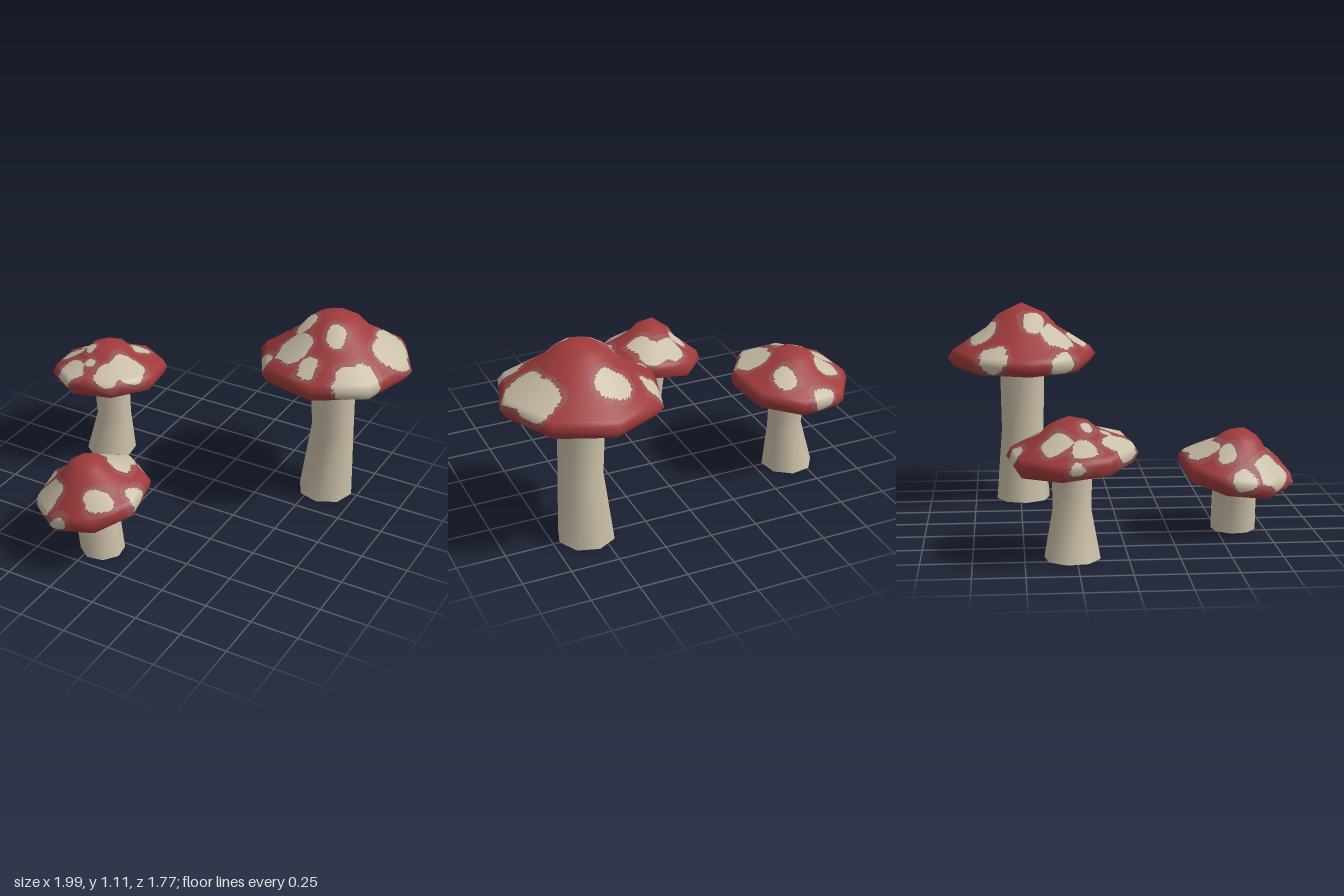
import * as THREE from 'three';
import { mergeVertices } from 'three/addons/utils/BufferGeometryUtils.js';

const SIDES = 8;
const { degToRad } = THREE.MathUtils;

// centre: middle of the cap rim; tilt about x and z and turn in degrees;
// stem: [x, radius] at top, middle and foot; spots: [x, z, radius] from above
const MUSHROOMS = [
  {
    name: 'tallMushroom', centre: [0.583, 0.81, -0.484], radius: 0.415, height: 0.297, tilt: [0, 3], turn: -5.6,
    stem: [[0.577, 0.124], [0.591, 0.118], [0.569, 0.149]],
    spots: [[0.5, -0.695, 0.09], [0.26, -0.64, 0.08], [0.84, -0.63, 0.11], [0.89, -0.51, 0.11], [0.83, -0.21, 0.12],
      [0.64, -0.355, 0.055], [0.44, -0.42, 0.07], [0.43, -0.29, 0.1], [0.56, -0.18, 0.06], [0.27, -0.26, 0.075]],
  },
  {
    name: 'middleMushroom', centre: [-0.682, 0.512, -0.27], radius: 0.32, height: 0.187, tilt: [-4.5, 4.5], turn: 12.5,
    stem: [[-0.676, 0.1], [-0.663, 0.094], [-0.687, 0.138]],
    spots: [[-0.58, -0.415, 0.065], [-0.84, -0.35, 0.075], [-0.89, -0.22, 0.06], [-0.765, -0.2, 0.032], [-0.71, -0.11, 0.024],
      [-0.51, -0.16, 0.1], [-0.57, -0.07, 0.08], [-0.8, -0.04, 0.09], [-0.73, -0.55, 0.06], [-0.98, -0.25, 0.04]],
  },
  {
    name: 'smallMushroom', centre: [-0.247, 0.328, 0.588], radius: 0.302, height: 0.228, tilt: [9, 9.5], turn: 13.4,
    stem: [[-0.24, 0.11], [-0.218, 0.114], [-0.2, 0.115]],
    spots: [[-0.3, 0.42, 0.085], [-0.2, 0.4, 0.09], [-0.15, 0.48, 0.065], [-0.39, 0.53, 0.052], [-0.11, 0.745, 0.07],
      [-0.41, 0.75, 0.1], [0.025, 0.6, 0.065], [-0.51, 0.6, 0.065], [-0.08, 0.34, 0.05], [-0.28, 0.87, 0.045]],
  },
];

// Cap outline from apex over the rim to the middle of the underside
const capProfile = (r, h) => [
  [0, h], [0.32 * r, 0.79 * h], [0.465 * r, 0.56 * h], [0.92 * r, 0.045],
  [r, 0], [0.915 * r, -0.05], [0.48 * r, -0.08], [0, -0.085],
];

// Surface through eight-sided rings; every facet is divided finely and shaded smoothly
function loft(profile, turn, rowSteps, colSteps) {
  const last = profile.length - 1;
  const rings = profile.map(([r, y], i) => {
    const p = profile[Math.max(i - 1, 0)], q = profile[Math.min(i + 1, last)];
    const n = new THREE.Vector2(p[1] - q[1], q[0] - p[0]).normalize();
    if (r === 0) n.set(0, Math.sign(n.y));
    return [r, y, n.x, n.y];
  });
  const positions = [], normals = [], index = [];
  const rows = last * rowSteps, cols = SIDES * colSteps;
  const start = Math.PI / 2 - degToRad(turn);
  for (let i = 0; i <= rows; i++) {
    const k = Math.min(Math.floor(i / rowSteps), last - 1), t = i / rowSteps - k;
    const [r, y, nr, ny] = rings[k].map((v, m) => v + (rings[k + 1][m] - v) * t);
    for (let j = 0; j <= cols; j++) {
      const side = Math.floor(j / colSteps), s = j / colSteps - side;
      const a = start + side * Math.PI * 2 / SIDES, b = a + Math.PI * 2 / SIDES;
      const dx = Math.sin(a) * (1 - s) + Math.sin(b) * s;
      const dz = Math.cos(a) * (1 - s) + Math.cos(b) * s;
      positions.push(r * dx, y, r * dz);
      normals.push(...new THREE.Vector3(nr * dx, ny, nr * dz).normalize().toArray());
      if (i < rows && j < cols) {
        const p = i * (cols + 1) + j, q = p + cols + 1;
        index.push(p, q, p + 1, q, q + 1, p + 1);
      }
    }
  }
  const geometry = new THREE.BufferGeometry();
  geometry.setAttribute('position', new THREE.Float32BufferAttribute(positions, 3));
  geometry.setAttribute('normal', new THREE.Float32BufferAttribute(normals, 3));
  geometry.setIndex(index);
  return geometry;
}

// Sorts the faces of the cap into red skin, halo and spot
function paintSpots(geometry, spots, upperCount) {
  const pos = geometry.attributes.position, index = geometry.index.array;
  const p = new THREE.Vector3(), q = new THREE.Vector3();
  // Drop each spot centre onto the upper surface
  const centres = spots.map(([x, z, r]) => {
    let best = Infinity, y = 0;
    for (let i = 0; i < upperCount; i++) {
      const d = Math.hypot(pos.getX(i) - x, pos.getZ(i) - z);
      if (d < best) { best = d; y = pos.getY(i); }
    }
    return { at: new THREE.Vector3(x, y, z), r };
  });
  const sorted = [[], [], []];
  for (let f = 0; f < index.length; f += 3) {
    p.set(0, 0, 0);
    for (let c = 0; c < 3; c++) p.add(q.fromBufferAttribute(pos, index[f + c]));
    p.divideScalar(3);
    const wobble = 0.006 * (Math.sin(p.x * 47 + p.y * 31) + Math.sin(p.z * 53 - p.y * 23));
    const d = Math.min(...centres.map((c) => p.distanceTo(c.at) - c.r)) + wobble;
    sorted[d < 0 ? 2 : d < 0.026 ? 1 : 0].push(index[f], index[f + 1], index[f + 2]);
  }
  geometry.setIndex(sorted.flat());
  let offset = 0;
  sorted.forEach((list, m) => {
    geometry.addGroup(offset, list.length, m);
    offset += list.length;
  });
  return geometry;
}

// Bent stem: a cylinder whose rings are moved and resized
function stemGeometry(rings, top, z, turn) {
  const geometry = new THREE.CylinderGeometry(1, 1, 1, SIDES, rings.length - 1, true, Math.PI / 2 - degToRad(turn));
  const pos = geometry.attributes.position;
  for (let i = 0; i < pos.count; i++) {
    const row = Math.floor(i / (SIDES + 1));
    const [x, r] = rings[row];
    pos.setXYZ(i, x + r * pos.getX(i), top * (1 - row / (rings.length - 1)), z + r * pos.getZ(i));
  }
  geometry.deleteAttribute('uv');
  geometry.deleteAttribute('normal');
  const merged = mergeVertices(geometry, 1e-4);
  merged.computeVertexNormals();
  return merged;
}

export function createModel() {
  const material = (name, color) => Object.assign(new THREE.MeshStandardMaterial({ color }), { name });
  const red = material('capRed', 0x9f3a3b);
  const halo = material('spotHalo', 0x985052);
  const cream = material('cream', 0xcabfa8);

  const model = new THREE.Group();
  model.name = 'mushrooms';
  for (const { name, centre, radius, height, tilt, turn, stem, spots } of MUSHROOMS) {
    const group = new THREE.Group();
    group.name = name;
    const add = (part, geometry, mat) => {
      const mesh = new THREE.Mesh(geometry, mat);
      mesh.name = part;
      group.add(mesh);
    };
    const [, rimY, z] = centre;
    const place = new THREE.Matrix4()
      .makeRotationFromEuler(new THREE.Euler(degToRad(tilt[0]), 0, degToRad(tilt[1])))
      .setPosition(...centre);

    // Spotted cap and pale underside
    const profile = capProfile(radius, height);
    const steps = 14;
    const cap = loft(profile.slice(0, 6), turn, steps, steps).applyMatrix4(place);
    add('cap', paintSpots(cap, spots, 4 * steps * (SIDES * steps + 1)), [red, halo, cream]);
    add('capUnderside', loft(profile.slice(5), turn, 1, 1).applyMatrix4(place), cream);

    // Stem and its foot
    add('stem', stemGeometry(stem, rimY - 0.03, z, turn), cream);
    const [footX, footRadius] = stem[stem.length - 1];
    const foot = new THREE.CircleGeometry(footRadius, SIDES, degToRad(turn));
    add('stemFoot', foot.rotateX(Math.PI / 2).translate(footX, 0, z), cream);
    model.add(group);
  }
  return model;
}
